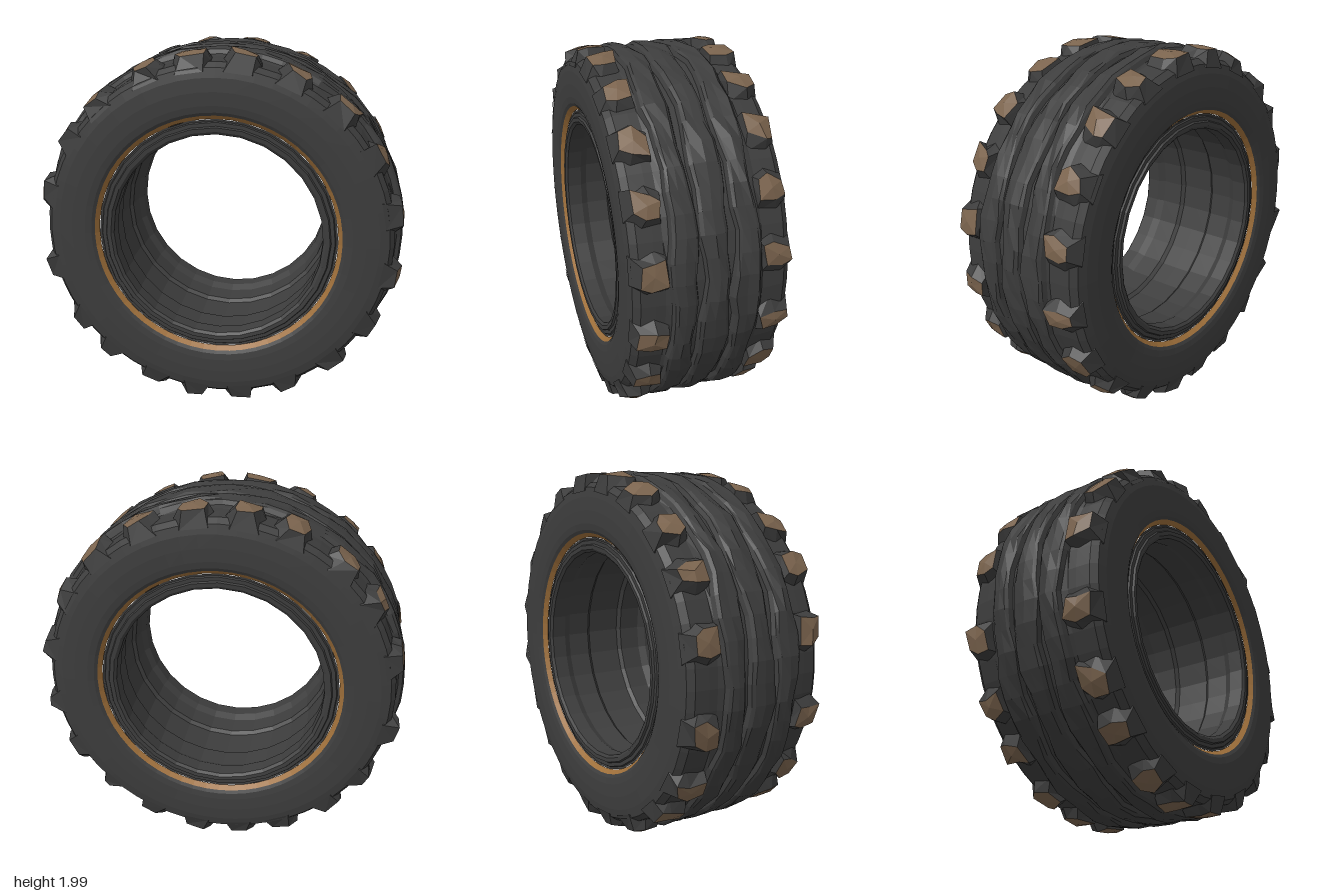
import * as THREE from 'three';

const rubber = new THREE.MeshStandardMaterial({ color: 0x3d3d3d, flatShading: true, name: 'dark rubber' });
const mud = new THREE.MeshStandardMaterial({ color: 0x7b644e, flatShading: true, name: 'muddy brown' });
const ochre = new THREE.MeshStandardMaterial({ color: 0x9e6f3a, flatShading: true, name: 'ochre ring' });

// repeatable jitter in -1..1
const jitter = (a, b = 0) => {
  const s = Math.sin(a * 127.1 + b * 311.7 + 4.2) * 43758.5453;
  return (s - Math.floor(s)) * 2 - 1;
};
const polar = (angle, r, z) => [r * Math.cos(angle), 1 + r * Math.sin(angle), z];

function geometryFrom(positions, indices) {
  const g = new THREE.BufferGeometry();
  g.setAttribute('position', new THREE.Float32BufferAttribute(positions, 3));
  g.setIndex(indices);
  const flat = g.toNonIndexed();
  flat.computeVertexNormals();
  return flat;
}

// sweeps a cross-section of [r, z] points round the wheel axis
const SEG = 56;
function sweep(name, section, material, segments = SEG) {
  const positions = [], indices = [];
  let n = 0;
  for (let j = 0; j < segments; j++) {
    const pts = section(j);
    n = pts.length;
    for (const [r, z] of pts) positions.push(...polar((j / segments) * Math.PI * 2, r, z));
  }
  for (let j = 0; j < segments; j++) {
    for (let i = 0; i < n - 1; i++) {
      const a = j * n + i, c = ((j + 1) % segments) * n + i;
      indices.push(a, a + 1, c, a + 1, c + 1, c);
    }
  }
  const mesh = new THREE.Mesh(geometryFrom(positions, indices), material);
  mesh.name = name;
  return mesh;
}

const flip = (pts) => pts.map(([r, z]) => [r, -z]).reverse();

// worn tread: three flat ribs between four shallow wandering grooves
function treadSection(j) {
  const a = (j / SEG) * Math.PI * 2;
  const wander = (k) => 0.010 * Math.sin(a * 7 + k * 2) + 0.007 * Math.sin(a * 13 + k * 5) + 0.009 * jitter(j, k);
  const shoulder = [[0.86, 0.408], [0.91, 0.398], [0.935, 0.365], [0.942, 0.29], [0.945, 0.245]];
  const pts = [...shoulder];
  const ribs = [[0.218, 0.095], [0.07, -0.07], [-0.095, -0.218]];
  ribs.forEach(([z0, z1], k) => {
    const s = wander(k * 2), e = wander(k * 2 + 1), w = z1 - z0;
    const top = (m) => 0.988 + 0.007 * jitter(j, 20 + k * 5 + m);
    pts.push([0.955, z0 + 0.006 + s], [0.978, z0 - 0.004 + s], [top(0), z0 + w * 0.15 + s],
      [top(1) + 0.004, z0 + w * 0.5 + (s + e) / 2], [top(2), z0 + w * 0.85 + e],
      [0.978, z1 + 0.004 + e], [0.955, z1 - 0.006 + e]);
  });
  return [...pts, ...flip(shoulder)];
}

// chunky shoulder lug: dark tapered sides with a brown worn cap
function shoulderLug(angle, side, seed) {
  const outline = [[-0.066, 0.248], [0.05, 0.24], [0.072, 0.30], [0.056, 0.374], [-0.042, 0.384], [-0.07, 0.33]];
  const n = outline.length, skew = 0.3 * jitter(seed, 9);
  const put = (u, r, z) => polar(angle + u, r, z * side);
  const foot = [], rim = [];
  let apex = [0, 0, 0];
  outline.forEach(([u, z], i) => {
    const tu = u * (0.92 + 0.14 * jitter(seed, 60)) + 0.02 * jitter(seed, i) + skew * (z - 0.31);
    const tz = z + 0.012 * jitter(seed, i + 20);
    const tr = 0.99 - Math.max(0, z - 0.28) * 0.14 + 0.01 * jitter(seed, i + 40);
    foot.push(put(u * 1.65, z > 0.35 ? 0.89 : 0.925, z > 0.35 ? 0.407 : 0.32 + (z - 0.315) * 1.25));
    rim.push(put(tu, tr, tz));
    apex = [apex[0] + tu / n, Math.max(apex[1], tr), apex[2] + tz / n];
  });
  const wall = [], cap = [];
  for (let i = 0; i < n; i++) {
    const k = (i + 1) % n;
    // winding follows the mirrored side
    const quad = [[i, k, n + i], [k, n + k, n + i]];
    for (const t of quad) wall.push(...(side > 0 ? t : [t[0], t[2], t[1]]));
    cap.push(...(side > 0 ? [i, k, n] : [k, i, n]));
  }
  const group = new THREE.Group();
  group.name = 'shoulderLug';
  const sides = new THREE.Mesh(geometryFrom([...foot, ...rim].flat(), wall), rubber);
  sides.name = 'lugSides';
  const top = new THREE.Mesh(geometryFrom([...rim, put(...apex)].flat(), cap), mud);
  top.name = 'lugCap';
  group.add(sides, top);
  return group;
}

export function createModel() {
  const model = new THREE.Group();
  model.name = 'tyre';
  model.add(sweep('tread', treadSection, rubber));

  // bulging side walls, ochre rings and beads, front and back
  const parts = [
    ['sidewall', [[0.668, 0.394], [0.685, 0.404], [0.72, 0.41], [0.79, 0.412], [0.86, 0.408]], rubber, SEG],
    ['rimRing', [[0.646, 0.37], [0.668, 0.394]], ochre, SEG],
    ['bead', [[0.567, 0.29], [0.567, 0.372], [0.582, 0.385], [0.604, 0.387], [0.61, 0.376],
      [0.63, 0.376], [0.635, 0.368], [0.647, 0.37]], rubber, 28],
  ];
  for (const [name, pts, material, segments] of parts) {
    model.add(sweep(name + 'Front', () => pts, material, segments));
    model.add(sweep(name + 'Back', () => flip(pts), material, segments));
  }

  // stepped inner barrel
  const half = [[0.608, 0], [0.608, 0.1], [0.59, 0.12], [0.59, 0.25], [0.567, 0.29]];
  model.add(sweep('innerBarrel', () => [...flip(half), ...half.slice(1)], rubber, 28));

  // unevenly spaced lugs on each shoulder, mirrored from the upper to the lower half
  const lugAngles = [10.5, 29.5, 47.5, 65, 82, 98, 113, 131.5, 147, 167];
  for (const side of [1, -1]) {
    lugAngles.forEach((degrees, i) => {
      for (const half of [1, -1]) {
        const seed = i + (side > 0 ? 1 : 51) + (half > 0 ? 0 : 20);
        model.add(shoulderLug(THREE.MathUtils.degToRad(degrees * half), side, seed));
      }
    });
  }
  return model;
}
